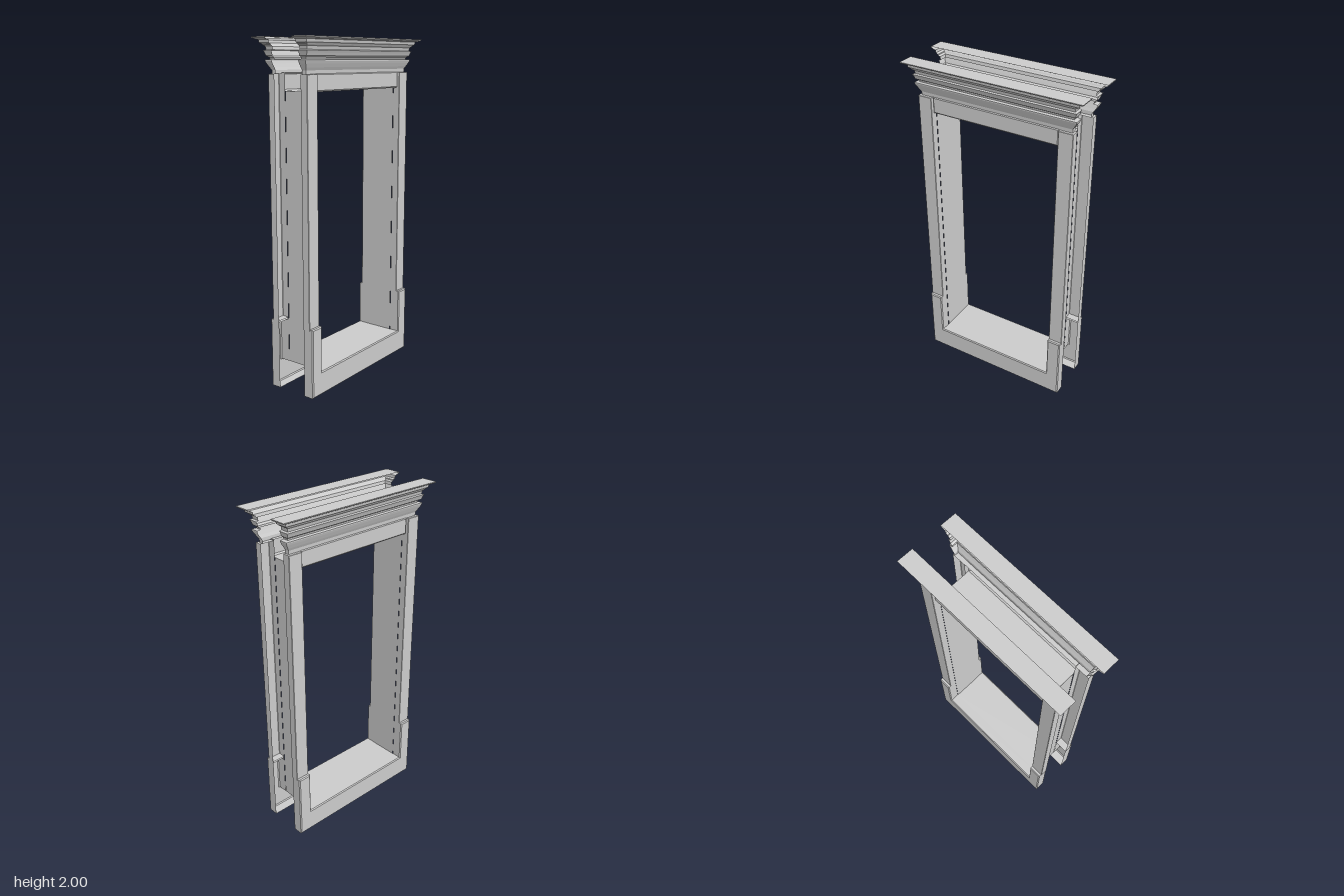
import * as THREE from 'three';

const BACK = 0.093; // plane where each trim meets the liner
const material = new THREE.MeshStandardMaterial({ color: 0xcccccc, side: THREE.DoubleSide });

// Flat-faced skin across rows of matching [x, y, z] points
function loft(rows, closed) {
  const pos = [];
  for (let i = 0; i < rows.length - 1; i++) {
    const n = rows[i].length;
    for (let j = 0; j < (closed ? n : n - 1); j++) {
      const k = (j + 1) % n;
      const [a, b, c, d] = [rows[i][j], rows[i][k], rows[i + 1][k], rows[i + 1][j]];
      pos.push(...a, ...b, ...c, ...a, ...c, ...d);
    }
  }
  const geo = new THREE.BufferGeometry();
  geo.setAttribute('position', new THREE.Float32BufferAttribute(pos, 3));
  geo.computeVertexNormals();
  return geo;
}

function addMesh(parent, name, geo) {
  const mesh = new THREE.Mesh(geo, material);
  mesh.name = name;
  parent.add(mesh);
  return mesh;
}

const rect = (x0, y0, x1, y1) => [[x0, y0], [x1, y0], [x1, y1], [x0, y1]];

// Moves a right-angled, counter-clockwise outline inward
function inset(outline, amount) {
  const n = outline.length;
  const normal = (p, q) => {
    const len = Math.hypot(q[0] - p[0], q[1] - p[1]);
    return [-(q[1] - p[1]) / len, (q[0] - p[0]) / len];
  };
  return outline.map((p, i) => {
    const a = normal(outline[(i + n - 1) % n], p);
    const b = normal(p, outline[(i + 1) % n]);
    return [p[0] + (a[0] + b[0]) * amount, p[1] + (a[1] + b[1]) * amount];
  });
}

// Open-backed board: side walls, bevelled edge and front face
function addBoard(parent, name, outline, front, bevel) {
  const board = new THREE.Group();
  board.name = name;
  const face = inset(outline, bevel);
  const at = (pts, z) => pts.map(([x, y]) => [x, y, z]);
  addMesh(board, name + 'Edge',
    loft([at(outline, BACK), at(outline, front - bevel), at(face, front)], true));
  const shape = new THREE.Shape(face.map(([x, y]) => new THREE.Vector2(x, y)));
  addMesh(board, name + 'Face', new THREE.ShapeGeometry(shape)).position.z = front;
  parent.add(board);
}

// Cornice moulding: stepped profile [half width, front z, y] with mitred returns
function corniceGeometry() {
  const profile = [
    [0.467, 0.120, 1.805], [0.467, 0.121, 1.825], [0.477, 0.129, 1.840],
    [0.490, 0.138, 1.860], [0.496, 0.143, 1.873], [0.496, 0.143, 1.879],
    [0.474, 0.126, 1.882], [0.476, 0.128, 1.892], [0.488, 0.142, 1.900],
    [0.492, 0.148, 1.915], [0.498, 0.154, 1.928], [0.485, 0.143, 1.932],
    [0.488, 0.147, 1.950], [0.500, 0.155, 1.957], [0.502, 0.158, 1.962],
    [0.515, 0.165, 1.968], [0.517, 0.168, 1.984], [0.530, 0.178, 1.987],
    [0.546, 0.190, 1.993], [0.548, 0.193, 2.000], [0.548, BACK, 2.000],
  ];
  return loft(profile.map(([x, z, y]) => [[-x, y, BACK], [-x, y, z], [x, y, z], [x, y, BACK]]), false);
}

// One complete face of the doorway
function createTrim(name) {
  const trim = new THREE.Group();
  trim.name = name;

  // U-shaped base with raised legs
  const w = 0.477, inner = 0.394, sill = 0.138, leg = 0.41;
  addBoard(trim, 'base', [
    [-w, 0], [w, 0], [w, leg], [inner, leg],
    [inner, sill], [-inner, sill], [-inner, leg], [-w, leg],
  ], 0.157, 0.006);

  // Side posts
  addBoard(trim, 'rightPost', rect(-0.479, 0.4, -inner, 1.805), 0.137, 0.002);
  addBoard(trim, 'leftPost', rect(inner, 0.4, 0.479, 1.805), 0.137, 0.002);

  // Header board with chamfered ends
  addBoard(trim, 'header', rect(-0.393, 1.711, 0.393, 1.81), 0.125, 0.008);

  addMesh(trim, 'cornice', corniceGeometry());
  return trim;
}

export function createModel() {
  const model = new THREE.Group();
  model.name = 'doorway';

  // Matching trims on both faces
  const front = createTrim('frontTrim');
  const back = createTrim('backTrim');
  back.rotation.y = Math.PI;
  model.add(front, back);

  // Thin liner around the opening, facing inward
  const opening = rect(-0.392, 0.138, 0.392, 1.711).reverse();
  addMesh(model, 'liner',
    loft([-BACK, BACK].map((z) => opening.map(([x, y]) => [x, y, z])), true));

  return model;
}
